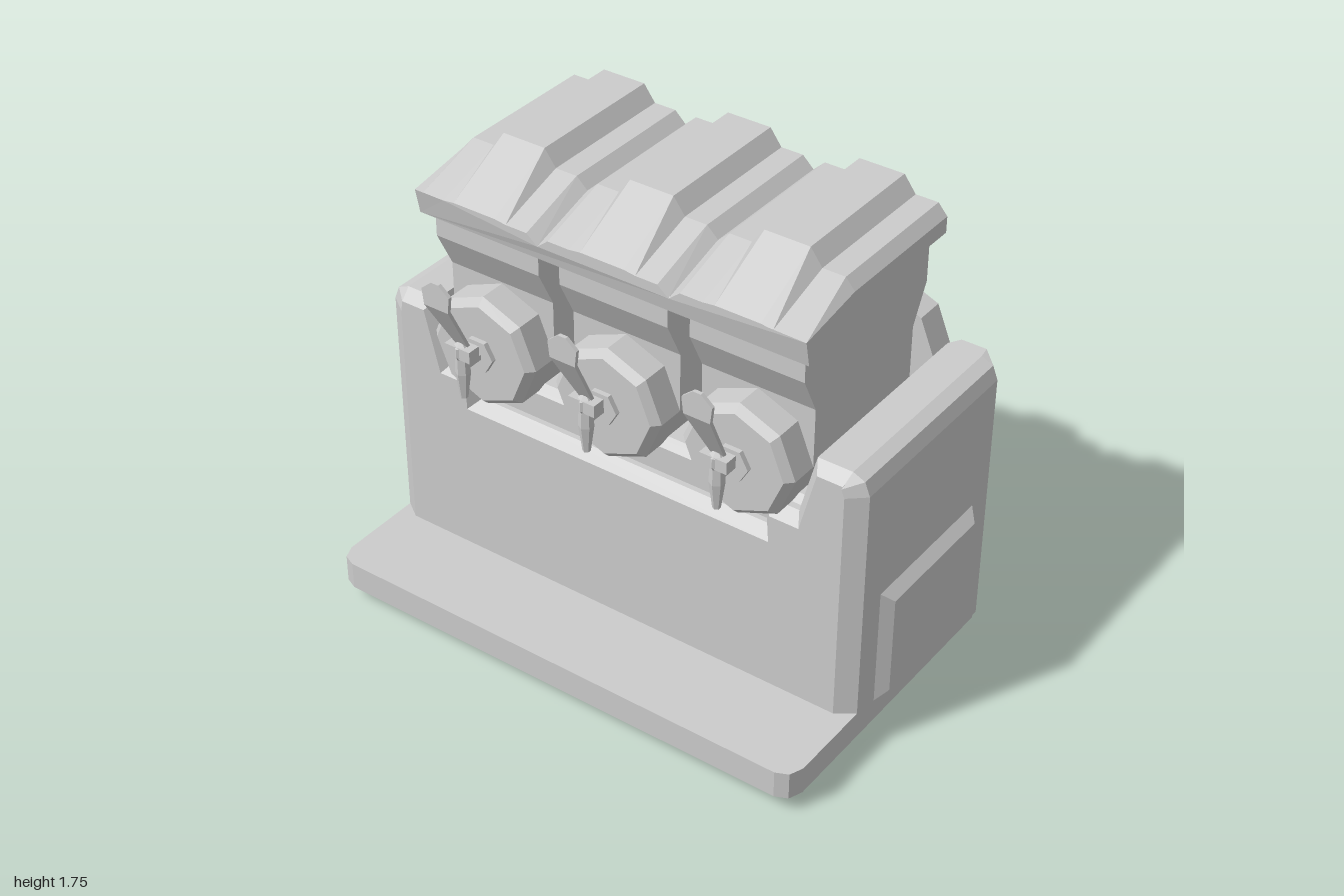
import * as THREE from 'three';

const material = new THREE.MeshStandardMaterial({ color: 0xcccccc, flatShading: true, side: THREE.DoubleSide });

function add(parent, name, geometry, x = 0, y = 0, z = 0) {
  const mesh = new THREE.Mesh(geometry, material);
  mesh.name = name;
  mesh.position.set(x, y, z);
  parent.add(mesh);
  return mesh;
}

// Apply a rule to every vertex
function warp(geometry, rule) {
  const p = geometry.attributes.position;
  const v = new THREE.Vector3();
  for (let i = 0; i < p.count; i++) {
    rule(v.fromBufferAttribute(p, i));
    p.setXYZ(i, v.x, v.y, v.z);
  }
  geometry.computeVertexNormals();
  return geometry;
}

const shapeOf = (points) => new THREE.Shape(points.map(([x, y]) => new THREE.Vector2(x, y)));
// Close a right half outline (listed from bottom to centre) with its mirror image
const mirrored = (half) => shapeOf([...half, ...half.slice().reverse().map(([x, y]) => [-x, y])]);
const extrude = (shape, depth) => new THREE.ExtrudeGeometry(shape, { depth, bevelEnabled: false });

// Block of height h standing on y = 0, with different bottom and top sizes
function frustum([bw, bd], [tw, td], h) {
  return warp(new THREE.BoxGeometry(1, 1, 1), (v) => {
    const top = v.y > 0;
    v.set(v.x * (top ? tw : bw), top ? h : 0, v.z * (top ? td : bd));
  });
}

function makeBody() {
  const back = -0.61, front = 0.265, bevel = 0.045;
  const shape = mirrored([[0.965, 0.07], [0.965, 1.06], [0.945, 1.11], [0.9, 1.13],
    [0.77, 1.13], [0.71, 0.895], [0.59, 0.895], [0.59, 0.79]]);
  const g = new THREE.ExtrudeGeometry(shape, {
    depth: front - back - 2 * bevel, bevelThickness: bevel,
    bevelSize: 0.035, bevelOffset: -0.035, bevelSegments: 1,
  });
  g.translate(0, 0, back + bevel);
  // Widen the corner chamfers; keep the back top and the base square
  return warp(g, (v) => {
    const atBack = v.z < back + 0.01;
    if (!atBack && v.z < front - 0.01) return;
    if (Math.abs(v.x) > 0.9) v.x = Math.sign(v.x) * (Math.abs(v.x) - 0.03);
    if (v.y < 0.2) v.y = 0.07;
    if (atBack && v.y > 1.07) v.y = 1.13;
  });
}

function makeLid() {
  // Three stepped ridges side by side
  const points = [[0.765, 1.585], [-0.765, 1.585], [-0.765, 1.645]];
  for (const c of [-0.515, 0, 0.515]) {
    for (const [dx, y] of [[-0.215, 1.685], [-0.13, 1.685], [-0.085, 1.745],
      [0.085, 1.745], [0.13, 1.685], [0.215, 1.685]]) points.push([c + dx, y]);
    points.push([c < 0.5 ? c + 0.2575 : 0.765, 1.645]);
  }
  const g = new THREE.ExtrudeGeometry(shapeOf(points), { depth: 2, steps: 2, bevelEnabled: false });
  // The front section drops and flattens
  return warp(g, (v) => {
    if (v.z < 0.5) v.z = -0.505;
    else if (v.z < 1.5) v.z = 0.04;
    else if (v.y < 1.6) { v.z = 0.285; v.y = 1.505; }
    else {
      v.z = 0.305;
      if (v.y > 1.7) v.y = 1.606;
      else v.y = v.y < 1.66 && Math.abs(v.x) < 0.5 ? 1.565 : 1.6;
    }
  });
}

function makeHopper() {
  const side = shapeOf([[0.18, 1.05], [0.18, 1.27], [0.25, 1.41], [0.25, 1.595],
    [-0.465, 1.595], [-0.465, 1.41], [-0.395, 1.27], [-0.395, 1.05]]);
  // Profile is (z, y): turn it to run along x
  return extrude(side, 0.43).rotateY(-Math.PI / 2).translate(0.215, 0, 0);
}

function makeHandle() {
  const rows = [[1.14, 0.395, 0.026], [1.34, 0.508, 0.05], [1.4, 0.508, 0.057], [1.435, 0.508, 0.015]];
  return warp(new THREE.BoxGeometry(2, 3, 1, 1, 3, 1), (v) => {
    const [y, z, w] = rows[Math.round(v.y + 1.5)];
    v.set(v.x * w, y, z + v.z * 0.014);
  });
}

function makeDispenser(x) {
  const unit = new THREE.Group();
  unit.name = 'dispenser';
  unit.position.x = x;
  add(unit, 'hopper', makeHopper());

  // Octagonal drum with a chamfered front rim
  const rim = [[0, -0.39], [0.215, -0.39], [0.215, 0.28], [0.188, 0.308], [0, 0.308]];
  const drum = new THREE.LatheGeometry(rim.map(([r, z]) => new THREE.Vector2(r, z)), 8);
  add(unit, 'drum', drum.rotateX(Math.PI / 2), 0, 1.05, 0);

  // Tap
  add(unit, 'tapPlate', new THREE.CylinderGeometry(0.066, 0.066, 0.025, 6)
    .rotateY(Math.PI / 2).rotateX(Math.PI / 2), 0, 1.055, 0.314);
  add(unit, 'tapStem', new THREE.CylinderGeometry(0.02, 0.02, 0.09, 6).rotateX(Math.PI / 2), 0, 1.055, 0.36);
  const spout = [[0, 0.93], [0.014, 0.93], [0.027, 1.03], [0.024, 1.09], [0.03, 1.1],
    [0.03, 1.135], [0.012, 1.152], [0, 1.152]];
  add(unit, 'spout', new THREE.LatheGeometry(spout.map(([r, y]) => new THREE.Vector2(r, y)), 6), 0, 0, 0.4);
  add(unit, 'tapCollar', new THREE.BoxGeometry(0.105, 0.045, 0.05), 0, 1.117, 0.4);
  add(unit, 'handle', makeHandle());
  return unit;
}

export function createModel() {
  const model = new THREE.Group();
  model.name = 'drinkDispenser';

  // Base slab with clipped corners
  const slab = mirrored([[0.9, -0.61], [0.945, -0.59], [0.965, -0.54], [0.965, 0.54], [0.945, 0.59], [0.9, 0.61]]);
  add(model, 'base', extrude(slab, 0.105).rotateX(-Math.PI / 2), 0, 0.06, 0);

  // Housing and the wall inside its front recess
  add(model, 'body', makeBody());
  const inner = shapeOf([[-0.605, 0.08], [0.2, 0.08], [0.2, 0.89], [0.17, 0.92], [-0.605, 0.92]]);
  add(model, 'innerWall', extrude(inner, 1.42).rotateY(-Math.PI / 2), 0.71, 0, 0);

  // Scalloped back panel: upper halves of three octagons
  const outline = [[0.735, 0.855], [-0.735, 0.855], [-0.775, 1.05]];
  for (const c of [-0.515, 0, 0.515]) {
    outline.push([c - 0.184, 1.234], [c, 1.31], [c + 0.184, 1.234]);
    outline.push(c < 0.5 ? [c + 0.2575, 1.055] : [0.775, 1.05]);
  }
  add(model, 'backPanel', extrude(shapeOf(outline), 0.109), 0, 0, -0.611);

  // Feet and side panels
  for (const s of [-1, 1]) {
    for (const z of [-0.485, 0.485]) {
      add(model, 'foot', frustum([0.1, 0.1], [0.15, 0.15], 0.062), s * 0.855, 0, z);
    }
    const panel = add(model, 'sidePanel', frustum([0.46, 0.585], [0.38, 0.505], 0.037), s * 0.963, 0.375, -0.175);
    panel.rotation.z = -s * Math.PI / 2;
  }

  for (const x of [-0.515, 0, 0.515]) model.add(makeDispenser(x));
  add(model, 'lid', makeLid());
  return model;
}
